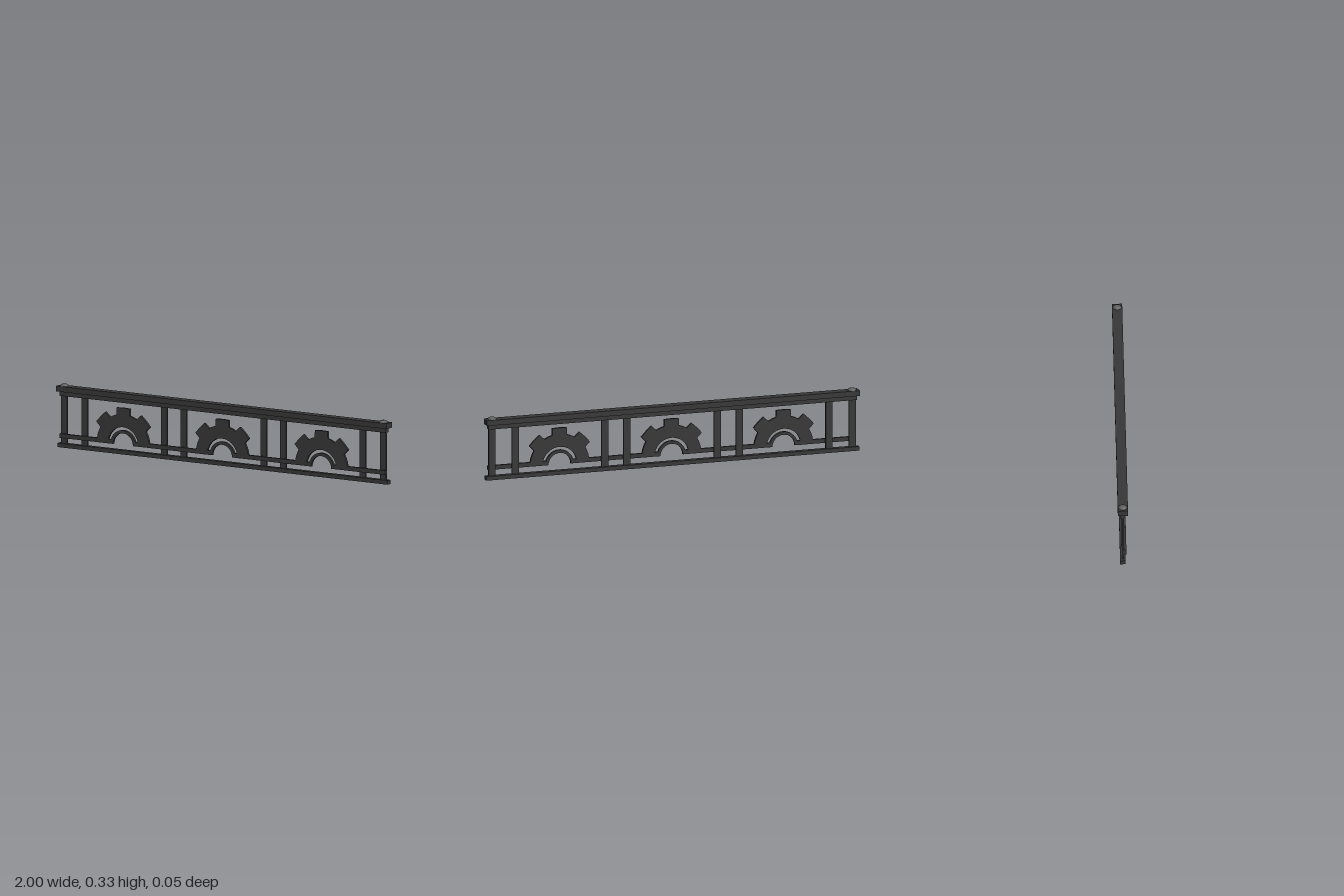
import * as THREE from 'three';

export function createModel() {
  const root = new THREE.Group();
  root.name = 'gearRailing';
  const iron = new THREE.MeshStandardMaterial({ color: 0x373737 });
  iron.name = 'dark iron';
  const steel = new THREE.MeshStandardMaterial({ color: 0x5c5c5c, flatShading: true });
  steel.name = 'bolt steel';
  const rust = new THREE.MeshStandardMaterial({ color: 0x4a3026 });
  rust.name = 'rust brown';

  const add = (name, geo, mat = iron) => {
    const mesh = new THREE.Mesh(geo, mat);
    mesh.name = name;
    root.add(mesh);
    return mesh;
  };
  // Box given by its extents on each axis
  const box = (name, x0, x1, y0, y1, z0, z1, mat = iron) =>
    add(name, new THREE.BoxGeometry(x1 - x0, y1 - y0, z1 - z0), mat)
      .position.set((x0 + x1) / 2, (y0 + y1) / 2, (z0 + z1) / 2);

  // Long rails; the base has a brown underside
  box('baseRail', -1, 1, 0, 0.021, -0.014, 0.014, [iron, iron, iron, rust, iron, iron]);
  box('underRail', -0.987, 0.987, 0.267, 0.291, -0.014, 0.014);
  box('handRail', -1, 1, 0.29, 0.318, -0.026, 0.026);

  // Upright flat bars, mirrored left and right
  for (const x of [0.243, 0.361, 0.841, 0.965])
    for (const s of [-1, 1])
      box('post', s * x - 0.0185, s * x + 0.0185, 0.02, 0.268, -0.005, 0.005);

  const zBack = 0.005, depth = 0.013, gearY = 0.05;
  const polar = (r, deg) => {
    const a = THREE.MathUtils.degToRad(deg);
    return new THREE.Vector2(r * Math.cos(a), r * Math.sin(a));
  };
  const arc = (r, from, to, n) =>
    Array.from({ length: n + 1 }, (_, i) => polar(r, from + (to - from) * i / n));
  const extrude = (points) => new THREE.ExtrudeGeometry(new THREE.Shape(points),
    { depth, bevelEnabled: false });

  // Half gear with three teeth
  const outline = [...arc(0.159, 0, 30.5, 4)];
  for (const c of [45, 90, 135]) {
    outline.push(polar(0.194, c - 11.5), polar(0.192, c), polar(0.194, c + 11.5));
    outline.push(...(c < 135 ? arc(0.159, c + 14.5, c + 30.5, 2) : arc(0.159, 149.5, 180, 4)));
  }
  const gearGeo = extrude([...outline, ...arc(0.092, 180, 0, 24)]);
  // Half ring inside the gear
  const ringGeo = extrude([...arc(0.076, 0, 180, 24), ...arc(0.06, 180, 0, 24)]);

  for (const x of [-0.6, 0, 0.6]) {
    add('halfGear', gearGeo).position.set(x, gearY, zBack);
    add('innerRing', ringGeo).position.set(x, gearY, zBack);
  }

  // Lower bar, broken below each ring
  const ends = [-0.985, -0.661, -0.539, -0.061, 0.061, 0.539, 0.661, 0.985];
  for (let i = 0; i < ends.length; i += 2)
    box('lowerBar', ends[i], ends[i + 1], 0.05, 0.072, zBack, zBack + depth);

  // Domed bolt heads on the hand rail
  const profile = [[0.024, 0], [0.021, 0.006], [0.016, 0.01], [0.008, 0.013], [0, 0.0135]]
    .map(([r, y]) => new THREE.Vector2(r, y));
  const boltGeo = new THREE.LatheGeometry(profile, 12);
  for (const s of [-1, 1])
    add('boltHead', boltGeo, steel).position.set(s * 0.965, 0.317, 0);

  return root;
}
